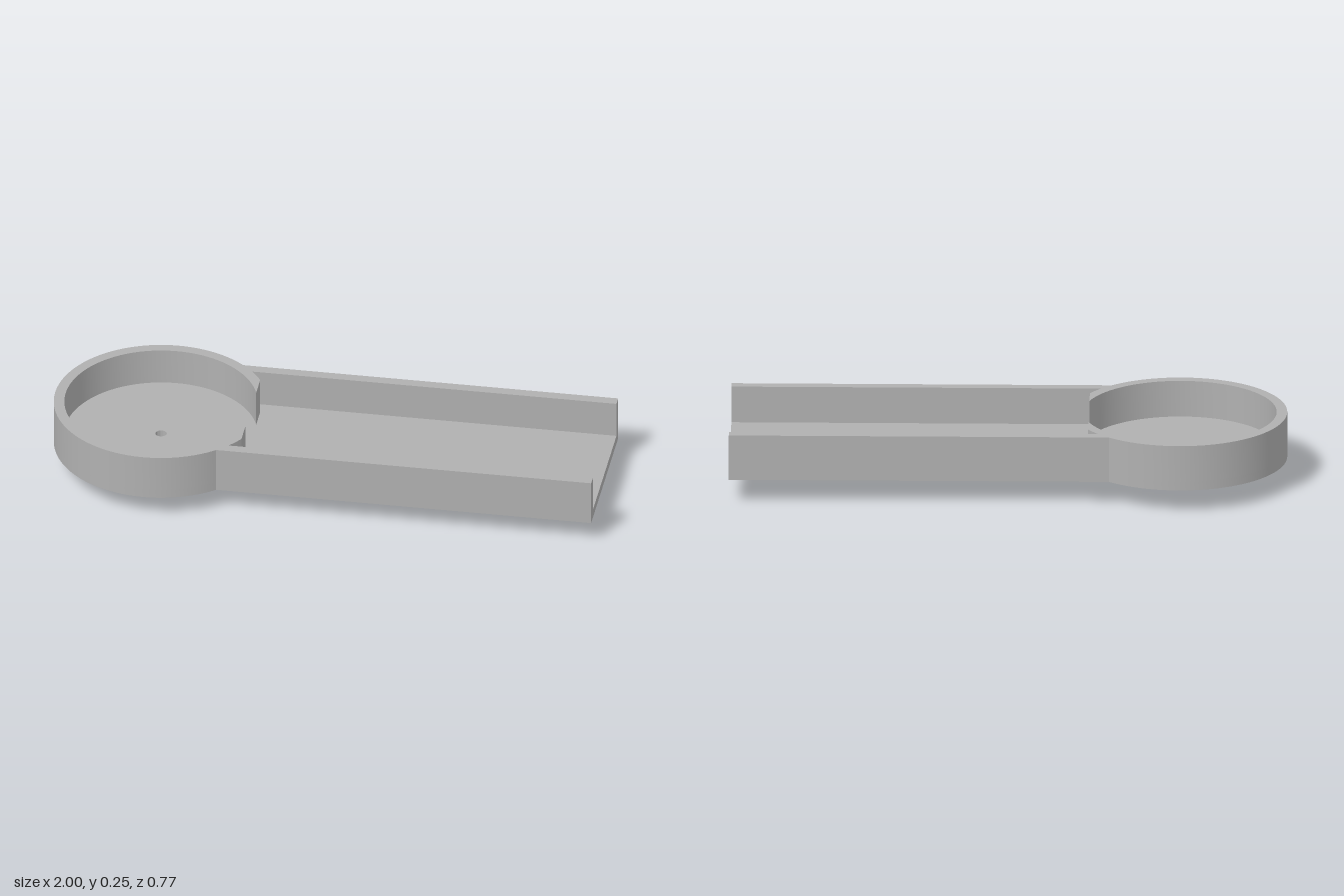
import * as THREE from 'three';
import { toCreasedNormals } from 'three/addons/utils/BufferGeometryUtils.js';

const CX = -0.615;              // centre of the round cup
const R = 0.385, R_IN = 0.347;  // cup radii
const W = 0.293, W_IN = 0.255;  // channel half widths
const LIP = 0.327;              // cup wall is cut off this far from its centre

const Y_BASE = 0.085, Y_FLOOR = 0.118, Y_TOP = 0.253;
const TAU = Math.PI * 2;

export function createModel() {
  const group = new THREE.Group();
  const grey = new THREE.MeshStandardMaterial({ color: 0xb0b0b0 });
  grey.name = 'plain grey';

  // Extrudes a plan outline upwards between two heights
  function addPart(name, shape, y0, y1) {
    const extruded = new THREE.ExtrudeGeometry(shape, { depth: y1 - y0, bevelEnabled: false, curveSegments: 72 });
    extruded.rotateX(-Math.PI / 2).translate(0, y0, 0);
    const mesh = new THREE.Mesh(toCreasedNormals(extruded, 0.5), grey);
    mesh.name = name;
    group.add(mesh);
  }

  function addHole(shape, radius) {
    shape.holes.push(new THREE.Path().absarc(CX, 0, radius, 0, TAU, true));
    return shape;
  }

  const disc = (radius) => new THREE.Shape().absarc(CX, 0, radius, 0, TAU, false);

  // Floor: round end merged with the straight channel, with a pin hole
  const join = Math.asin(W / R);
  const floor = new THREE.Shape();
  floor.moveTo(1, -W);
  floor.lineTo(1, W);
  floor.absarc(CX, 0, R, join, TAU - join, false);
  floor.closePath();
  addPart('floor', addHole(floor, 0.02), Y_BASE, Y_FLOOR);

  // One continuous wall around the cup and along both channel sides
  const corner = Math.asin(W_IN / R);
  const lipOut = Math.acos(LIP / R);
  const lipIn = Math.acos(LIP / R_IN);
  const wall = new THREE.Shape();
  wall.moveTo(1, W_IN);
  wall.lineTo(1, W);
  wall.absarc(CX, 0, R, join, TAU - join, false);
  wall.lineTo(1, -W);
  wall.lineTo(1, -W_IN);
  wall.absarc(CX, 0, R, -corner, -lipOut, false);
  wall.absarc(CX, 0, R_IN, TAU - lipIn, lipIn, true);
  wall.absarc(CX, 0, R, lipOut, corner, false);
  wall.closePath();
  addPart('wall', wall, Y_FLOOR, Y_TOP);

  // Hub underneath: wide bore below, narrow pin hole above
  addPart('hub', addHole(disc(0.117), 0.065), 0, 0.07);
  addPart('hubTop', addHole(disc(0.117), 0.02), 0.07, Y_BASE);

  return group;
}
